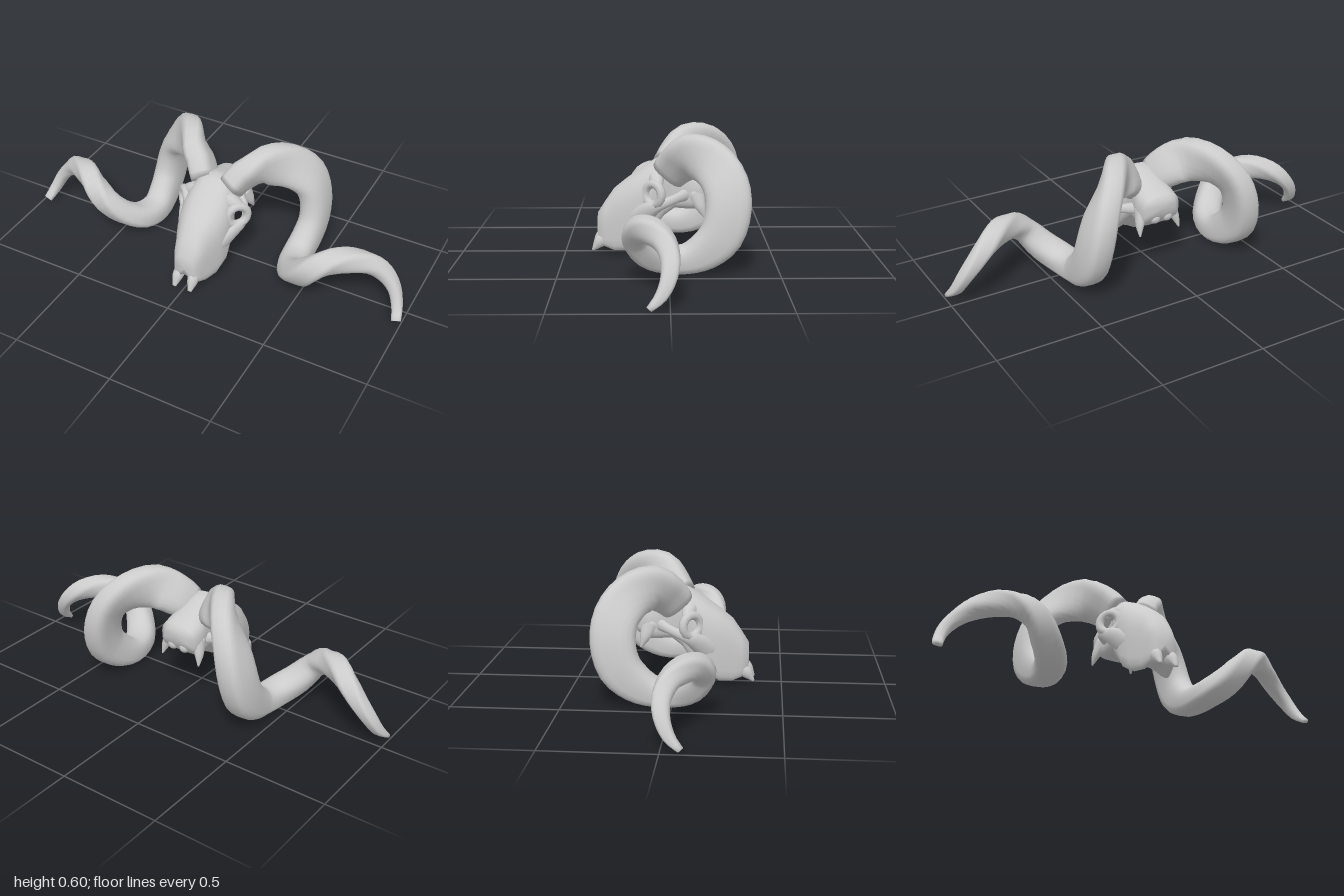
import * as THREE from 'three';

const bone = new THREE.MeshStandardMaterial({ color: 0xcccccc, side: THREE.DoubleSide });
const V = (x, y, z) => new THREE.Vector3(x, y, z);
const pow = (v, e) => Math.sign(v) * Math.abs(v) ** e;

// Closed skin over a list of rings, capped at both ends and wound outward
function loft(rings) {
  const n = rings[0].length, pts = rings.flat(), idx = [];
  for (let i = 0; i < rings.length - 1; i++)
    for (let j = 0; j < n; j++) {
      const a = i * n + j, b = i * n + (j + 1) % n;
      idx.push(a, b, a + n, b, b + n, a + n);
    }
  const centre = ring => ring.reduce((s, p) => s.add(p), V(0, 0, 0)).divideScalar(n);
  const c0 = pts.push(centre(rings[0])) - 1;
  const c1 = pts.push(centre(rings[rings.length - 1])) - 1;
  const last = (rings.length - 1) * n;
  for (let j = 0; j < n; j++) {
    const k = (j + 1) % n;
    idx.push(c0, k, j, c1, last + j, last + k);
  }
  let volume = 0;
  for (let i = 0; i < idx.length; i += 3)
    volume += pts[idx[i]].dot(V(0, 0, 0).crossVectors(pts[idx[i + 1]], pts[idx[i + 2]]));
  if (volume < 0) idx.reverse();
  const g = new THREE.BufferGeometry().setFromPoints(pts);
  g.setIndex(idx);
  g.computeVertexNormals();
  return g;
}

// Tapering tube with half sizes a across the curl and b sideways;
// powers below 1 square off the inner and outer halves of the section
function taper(points, sizes, steps, sides, mirror, inner = 1, outer = 1) {
  const path = new THREE.CatmullRomCurve3(points.map(p => V(p[0] * mirror, p[1], p[2])));
  const size = new THREE.CatmullRomCurve3(sizes.map(s => V(s[0], s[1], 0)));
  const rings = [];
  for (let i = 0; i <= steps; i++) {
    const t = i / steps, p = path.getPoint(t), s = size.getPoint(t), tan = path.getTangent(t);
    const side = V(1, 0, 0).addScaledVector(tan, -tan.x).normalize();
    const radial = V(0, 0, 0).crossVectors(tan, side);
    rings.push(Array.from({ length: sides }, (_, j) => {
      const q = j / sides * Math.PI * 2, c = Math.cos(q), e = c < 0 ? outer : inner;
      return p.clone().addScaledVector(radial, pow(c, e) * s.x)
        .addScaledVector(side, pow(Math.sin(q), e) * s.y);
    }));
  }
  return loft(rings);
}

// Horn centreline with half sizes: x, y, z, a, b
const HORN = [
  [.07, .4, -.005, .088, .058], [.115, .455, -.053, .1, .062], [.19, .497, -.11, .107, .06],
  [.28, .478, -.195, .106, .06], [.36, .4, -.255, .105, .062], [.397, .295, -.267, .104, .065],
  [.41, .18, -.235, .1, .066], [.405, .105, -.16, .086, .068], [.4, .066, -.07, .066, .07],
  [.425, .076, .035, .06, .074], [.485, .125, .11, .06, .07], [.55, .2, .15, .056, .06],
  [.625, .253, .13, .058, .056], [.71, .268, .08, .058, .053], [.8, .245, .025, .049, .048],
  [.87, .195, 0, .042, .038], [.925, .13, .005, .035, .03], [.958, .06, .037, .026, .026],
  [.977, .012, .086, .012, .023],
];

// Skull sections: z, bottom, top, half width, palate hollow
const SKULL = [
  [-.21, .3, .37, .065, 0], [-.19, .26, .39, .095, 0], [-.14, .22, .41, .105, 0],
  [-.09, .22, .43, .095, 0], [-.03, .22, .46, .085, .01], [.02, .18, .476, .1, .03],
  [.05, .14, .462, .118, .04], [.09, .1, .44, .125, .05], [.14, .04, .405, .13, .06],
  [.2, .004, .362, .115, .06], [.26, 0, .315, .088, .06], [.305, .022, .25, .073, .05],
  [.34, .05, .195, .052, .04],
];

// Rounded on top, square along the tooth rows, hollow at the palate
function cranium() {
  const sides = 24;
  return loft(SKULL.map(([z, lo, hi, w, hollow]) => Array.from({ length: sides }, (_, j) => {
    const q = j / sides * Math.PI * 2, s = Math.sin(q), c = Math.cos(q);
    const x = pow(c, s < 0 ? .5 : .75) * w;
    const y = (lo + hi) / 2 + pow(s, s < 0 ? .45 : .8) * (hi - lo) / 2;
    return V(x, y + (s < 0 ? hollow * Math.max(0, 1 - Math.abs(c) / .6) : 0), z);
  })));
}

export function createModel() {
  const model = new THREE.Group();
  const add = (name, geometry, parent = model) => {
    const m = new THREE.Mesh(geometry, bone);
    m.name = name;
    parent.add(m);
    return m;
  };

  add('cranium', cranium());

  for (const k of [1, -1]) {
    const half = new THREE.Group();
    half.name = k > 0 ? 'leftSide' : 'rightSide';
    model.add(half);
    const bar = (name, points, sizes) => add(name, taper(points, sizes, 10, 10, k), half);

    // Round on the inside of the curl, flat on the outside
    add('horn', taper(HORN, HORN.map(h => [h[3], h[4]]), 54, 20, k, .85, .6), half);

    // Eye socket rim, facing out and forward
    const rim = add('eyeSocket', new THREE.TorusGeometry(.05, .021, 8, 16), half);
    rim.position.set(.143 * k, .31, .07);
    rim.lookAt(.863 * k, .36, .72);

    // Cheek bone from the muzzle, under the socket, back to the braincase
    bar('cheekBone',
      [[.085, .15, .18], [.135, .23, .095], [.16, .26, .04], [.135, .285, -.03], [.06, .3, -.1]],
      [[.06, .025], [.045, .025], [.025, .018], [.022, .016], [.035, .025]]);
    bar('browBone', [[.03, .39, .06], [.11, .37, .055], [.165, .34, .045]],
      [[.05, .05], [.036, .034], [.018, .018]]);

    // Prong at the tip of the muzzle
    bar('muzzleProng', [[.034, .09, .28], [.04, .065, .322], [.042, .016, .365]],
      [[.035, .025], [.034, .027], [.006, .01]]);

    // Bony points and knobs at the back of the skull
    bar('skullPoint', [[.075, .31, -.13], [.098, .24, -.155], [.108, .19, -.175]],
      [[.045, .03], [.026, .02], [.004, .004]]);
    const knob = add('neckKnob', new THREE.SphereGeometry(.03, 12, 8), half);
    knob.position.set(.033 * k, .275, -.178);
  }
  return model;
}
